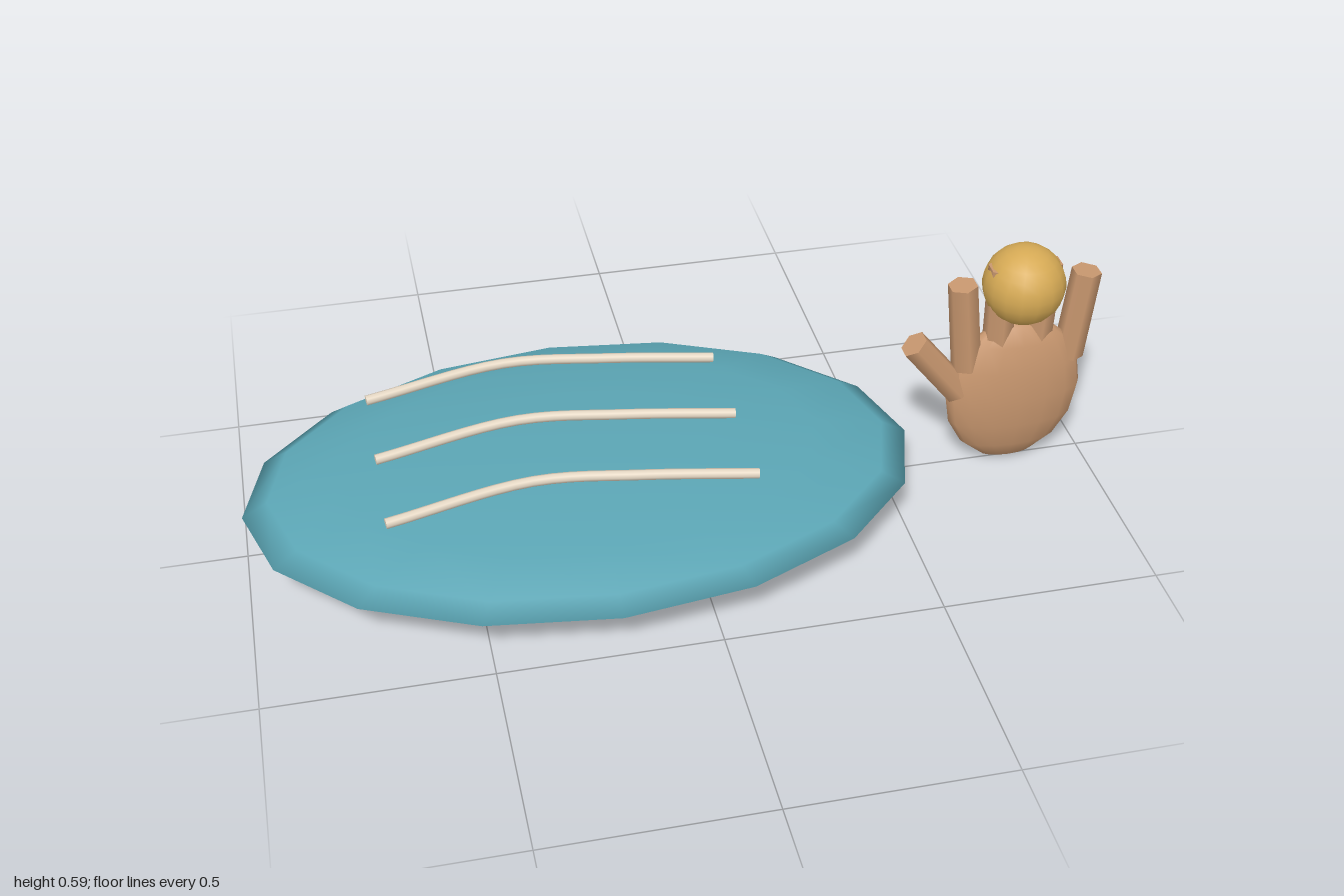
import * as THREE from 'three';

const mat = (name, color) => {
  const m = new THREE.MeshStandardMaterial({ color });
  m.name = name;
  return m;
};

export function createModel() {
  const model = new THREE.Group();
  const teal = mat('teal', 0x5ba5b4);
  const skin = mat('skin', 0xc8976f);
  const gold = mat('gold', 0xd6aa55);
  const cream = mat('cream', 0xe4d6c2);

  const add = (name, geometry, material, parent = model) => {
    const mesh = new THREE.Mesh(geometry, material);
    mesh.name = name;
    parent.add(mesh);
    return mesh;
  };

  const ellipsoid = (name, material, center, radii, rings, parent) => {
    const mesh = add(name, new THREE.SphereGeometry(1, 16, rings), material, parent);
    mesh.position.set(...center);
    mesh.scale.set(...radii);
  };

  // Flattened oval body
  ellipsoid('ovalBody', teal, [-0.222, 0.112, 0], [0.778, 0.09, 0.507], 8, model);

  // Three wavy strips floating just above the body
  const strips = new THREE.Group();
  strips.name = 'strips';
  model.add(strips);
  for (const z of [-0.229, 0, 0.229]) {
    const curve = new THREE.CatmullRomCurve3([
      new THREE.Vector3(-0.69, 0.228, z),
      new THREE.Vector3(-0.36, 0.247, z - 0.054),
      new THREE.Vector3(-0.12, 0.24, z - 0.035),
      new THREE.Vector3(0.14, 0.228, z),
    ]);
    add('strip', new THREE.TubeGeometry(curve, 20, 0.012, 8), cream, strips);
    for (const end of [0, 1]) {
      const cap = add('stripEnd', new THREE.CircleGeometry(0.012, 8), cream, strips);
      cap.position.copy(curve.getPoint(end));
      const outward = curve.getTangent(end).multiplyScalar(end ? 1 : -1);
      cap.quaternion.setFromUnitVectors(new THREE.Vector3(0, 0, 1), outward);
    }
  }

  // Hand: palm, four fingers and a thumb
  const hand = new THREE.Group();
  hand.name = 'hand';
  model.add(hand);
  ellipsoid('palm', skin, [0.817, 0.2, 0], [0.166, 0.2, 0.06], 8, hand);

  const finger = (name, x0, y0, x1, y1) => {
    const dx = x1 - x0, dy = y1 - y0;
    const mesh = add(name, new THREE.CylinderGeometry(0.035, 0.036, Math.hypot(dx, dy), 6), skin, hand);
    mesh.position.set((x0 + x1) / 2, (y0 + y1) / 2, 0);
    mesh.rotation.z = -Math.atan2(dx, dy);
  };
  finger('finger', 0.695, 0.28, 0.668, 0.508);
  finger('finger', 0.767, 0.3, 0.762, 0.545);
  finger('finger', 0.86, 0.3, 0.868, 0.545);
  finger('finger', 0.947, 0.28, 0.967, 0.508);
  finger('thumb', 0.68, 0.212, 0.562, 0.36);

  // Ball held between the fingers
  ellipsoid('ball', gold, [0.816, 0.492, 0], [0.096, 0.096, 0.096], 12, model);

  return model;
}
